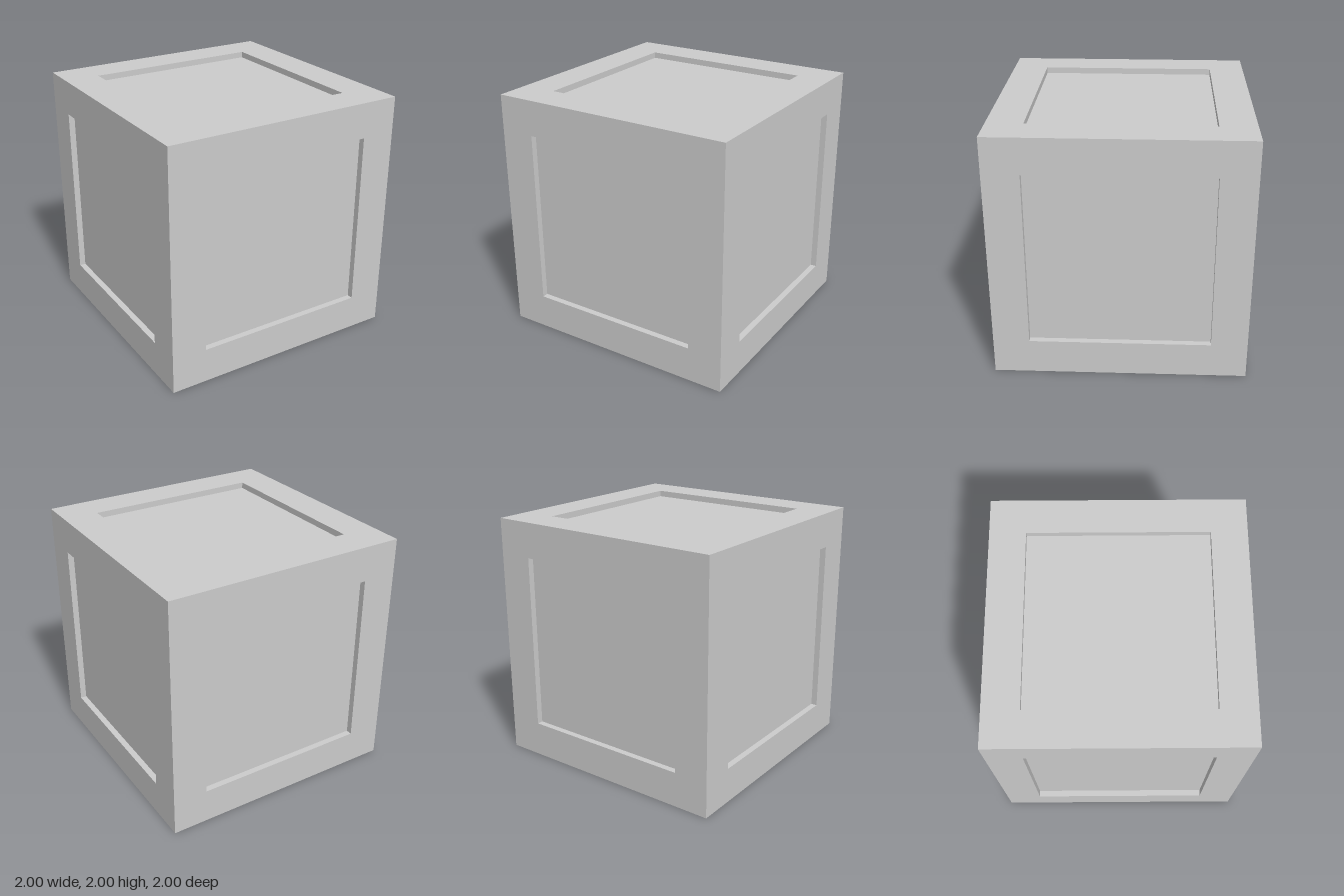
import * as THREE from 'three';
import { mergeGeometries } from 'three/addons/utils/BufferGeometryUtils.js';

const HALF = 1;        // half the cube's side
const INNER = 0.714;   // half the recessed panel's side
const DEPTH = 0.05;    // depth of the recess

// Square outline of half-size h
function square(PathType, h) {
  const path = new PathType();
  path.moveTo(-h, -h);
  path.lineTo(h, -h);
  path.lineTo(h, h);
  path.lineTo(-h, h);
  path.closePath();
  return path;
}

// Flat border around the recess
function borderGeometry() {
  const shape = square(THREE.Shape, HALF);
  shape.holes.push(square(THREE.Path, INNER));
  return new THREE.ShapeGeometry(shape).translate(0, 0, HALF);
}

// Four inward-facing walls of the recess
function wallGeometry() {
  const walls = [];
  for (let i = 0; i < 4; i++) {
    walls.push(new THREE.PlaneGeometry(2 * INNER, DEPTH)
      .rotateX(Math.PI / 2)
      .translate(0, INNER, HALF - DEPTH / 2)
      .rotateZ(i * Math.PI / 2));
  }
  return mergeGeometries(walls);
}

export function createModel() {
  const model = new THREE.Group();
  model.name = 'panelledCube';
  const material = new THREE.MeshStandardMaterial({ color: 0xcccccc });

  const parts = {
    border: borderGeometry(),
    recessWalls: wallGeometry(),
    panel: new THREE.PlaneGeometry(2 * INNER, 2 * INNER).translate(0, 0, HALF - DEPTH),
  };

  // The same recessed side, turned to face all six directions
  const q = Math.PI / 2;
  const sides = {
    front: [0, 0], left: [0, q], back: [0, 2 * q], right: [0, -q],
    top: [-q, 0], bottom: [q, 0],
  };
  for (const [name, [rx, ry]] of Object.entries(sides)) {
    const side = new THREE.Group();
    side.name = name + 'Side';
    for (const [part, geometry] of Object.entries(parts)) {
      const mesh = new THREE.Mesh(geometry, material);
      mesh.name = part;
      side.add(mesh);
    }
    side.rotation.set(rx, ry, 0);
    side.position.y = HALF;
    model.add(side);
  }
  return model;
}
